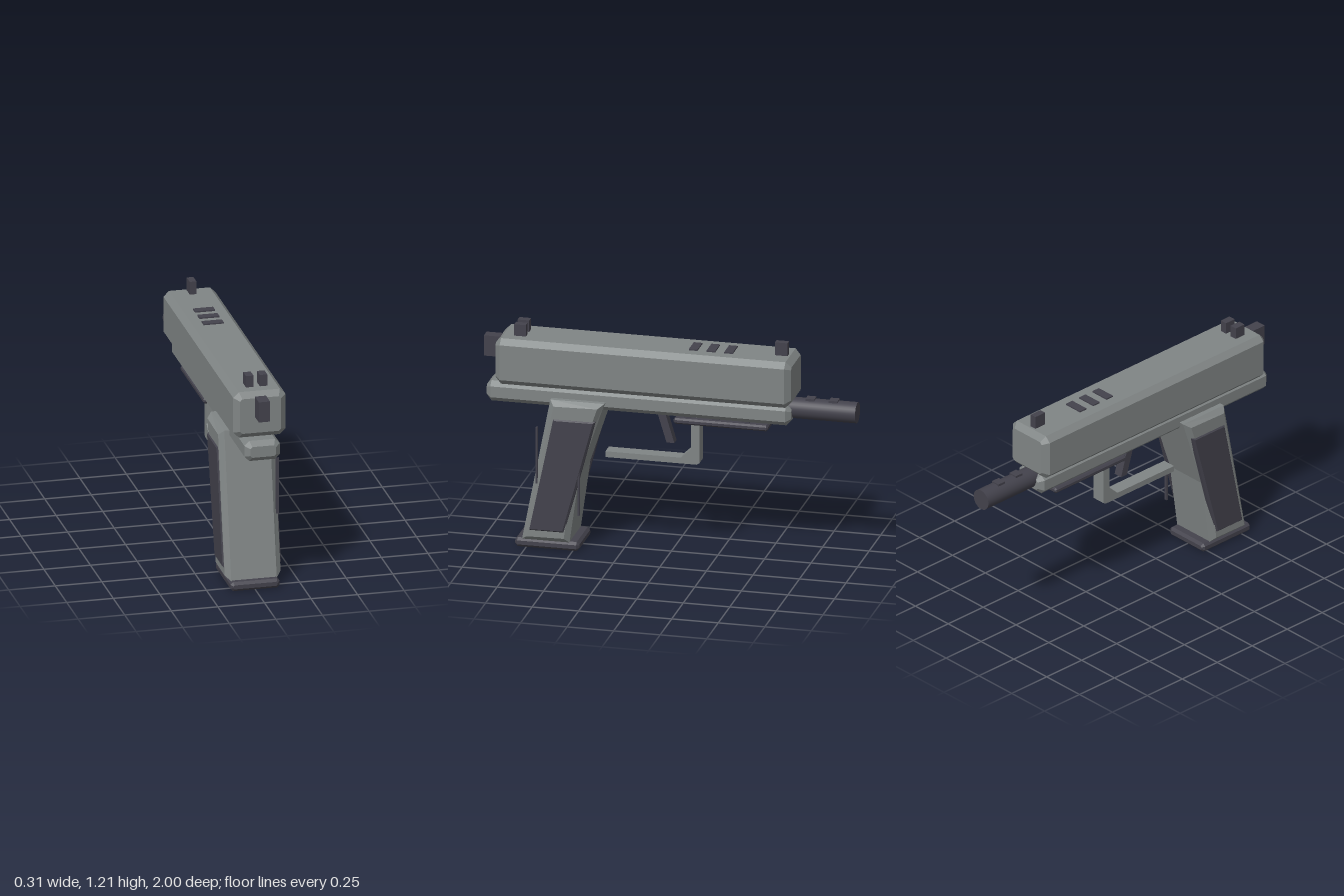
import * as THREE from 'three';

const steel = new THREE.MeshStandardMaterial({ color: 0x808585 });
steel.name = 'grey steel';
const dark = new THREE.MeshStandardMaterial({ color: 0x43424c });
dark.name = 'dark polymer';

export function createModel() {
  const model = new THREE.Group();

  const add = (name, geometry, material, x = 0, y = 0, z = 0) => {
    const mesh = new THREE.Mesh(geometry, material);
    mesh.name = name;
    mesh.position.set(x, y, z);
    model.add(mesh);
    return mesh;
  };

  // Plain box given by its limits
  const box = (name, material, [x0, x1], [y0, y1], [z0, z1]) =>
    add(name, new THREE.BoxGeometry(x1 - x0, y1 - y0, z1 - z0), material,
      (x0 + x1) / 2, (y0 + y1) / 2, (z0 + z1) / 2);

  const extrude = (points, depth, bevel) => {
    const shape = new THREE.Shape(points.map(([a, b]) => new THREE.Vector2(a, b)));
    const geometry = new THREE.ExtrudeGeometry(shape, {
      depth: depth - 2 * bevel, bevelEnabled: bevel > 0, bevelSegments: 1,
      bevelThickness: bevel, bevelSize: bevel, bevelOffset: -bevel,
    });
    return geometry.translate(0, 0, bevel - depth / 2);
  };

  // Box with all edges chamfered
  const chamferBox = (name, material, w, [y0, y1], [z0, z1], c) => {
    const a = w / 2, b = (y1 - y0) / 2;
    const section = [[a, c - b], [a, b - c], [a - c, b], [c - a, b],
      [-a, b - c], [-a, c - b], [c - a, -b], [a - c, -b]];
    return add(name, extrude(section, z1 - z0, c), material, 0, (y0 + y1) / 2, (z0 + z1) / 2);
  };

  // Side outline in (z, y), given thickness along x
  const sideProfile = (name, material, points, width, bevel = 0, x = 0) =>
    add(name, extrude(points, width, bevel).rotateY(-Math.PI / 2), material, x);

  // Upper slide and frame
  chamferBox('slide', steel, 0.28, [0.89, 1.143], [-0.67, 0.918], 0.03);
  chamferBox('frame', steel, 0.19, [0.778, 0.89], [-0.66, 0.975], 0.026);
  box('rearBlock', dark, [-0.03, 0.03], [1.008, 1.12], [0.88, 1]);

  // Barrel with two small top lugs
  add('barrel', new THREE.CylinderGeometry(0.056, 0.056, 0.4, 32).rotateX(Math.PI / 2),
    dark, 0, 0.856, -0.8);
  for (const z of [-0.75, -0.875])
    box('barrelLug', dark, [-0.025, 0.025], [0.89, 0.918], [z - 0.024, z + 0.024]);

  // Sights and top slots
  box('frontSight', dark, [-0.018, 0.018], [1.13, 1.214], [-0.628, -0.56]);
  for (const x of [-0.037, 0.037])
    box('rearSight', dark, [x - 0.02, x + 0.02], [1.13, 1.206], [0.768, 0.83]);
  for (const z of [-0.32, -0.225, -0.13])
    box('topSlot', dark, [-0.054, 0.054], [1.142, 1.15], [z - 0.023, z + 0.023]);

  // Slanted grip with side panels
  sideProfile('grip', steel, [[0.772, 0.045], [0.62, 0.83], [0.33, 0.83],
    [0.465, 0.42], [0.517, 0.045]], 0.3, 0.028);
  for (const side of [-1, 1])
    sideProfile('gripPanel', dark, [[0.73, 0.105], [0.6, 0.735], [0.373, 0.735], [0.54, 0.105]],
      0.04, 0.01, side * 0.137);
  chamferBox('basePlate', dark, 0.264, [0, 0.05], [0.465, 0.81], 0.014);

  // Thin upright strips on the left of the grip
  box('gripStrip', dark, [0.137, 0.155], [0.37, 0.68], [0.682, 0.692]);
  box('gripStrip', dark, [0.137, 0.155], [0.21, 0.5], [0.456, 0.466]);

  // Trigger and open guard
  sideProfile('trigger', dark, [[0.075, 0.79], [0.032, 0.79], [-0.022, 0.61], [0.02, 0.61]], 0.05);
  sideProfile('triggerGuard', steel, [[0.345, 0.505], [0.345, 0.537], [-0.06, 0.537],
    [-0.115, 0.59], [-0.115, 0.785], [-0.16, 0.785], [-0.16, 0.515], [-0.145, 0.505]], 0.075);

  // Under-barrel rail on short supports
  chamferBox('rail', dark, 0.15, [0.734, 0.766], [-0.535, -0.028], 0.009);
  for (const z of [-0.1, -0.25, -0.41])
    box('railSupport', dark, [-0.05, 0.05], [0.76, 0.785], [z - 0.02, z + 0.02]);

  return model;
}
